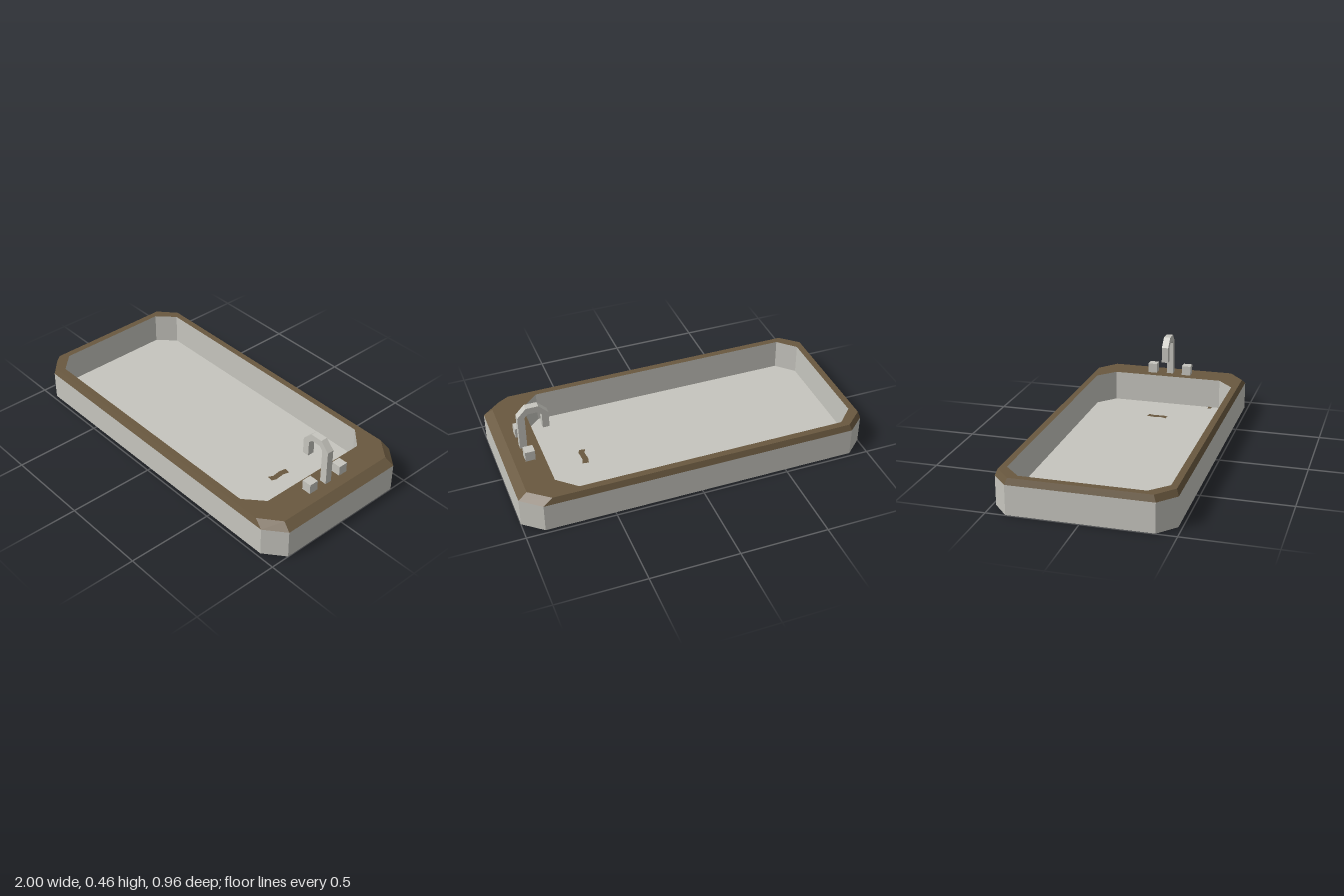
import * as THREE from 'three';

const grey = new THREE.MeshStandardMaterial({ color: 0xc6c5be });
grey.name = 'pale grey';
const brown = new THREE.MeshStandardMaterial({ color: 0x69583f });
brown.name = 'dark brown';

// Chamfered rectangle at height y, counter-clockwise seen from above
function ring(y, left, right, z, cutLeft, cutRight, cutZ) {
  const zi = z - cutZ;
  return [
    [right, zi], [right, -zi], [right - cutRight, -z], [left + cutLeft, -z],
    [left, -zi], [left, zi], [left + cutLeft, z], [right - cutRight, z],
  ].map(([x, pz]) => new THREE.Vector3(x, y, pz));
}

// Flat-shaded strip joining two rings
function band(name, a, b, material) {
  const points = [];
  a.forEach((p, i) => {
    const j = (i + 1) % a.length;
    points.push(p, a[j], b[j], p, b[j], b[i]);
  });
  const geometry = new THREE.BufferGeometry().setFromPoints(points);
  geometry.computeVertexNormals();
  const mesh = new THREE.Mesh(geometry, material);
  mesh.name = name;
  return mesh;
}

// Flat cap, drawn as a fan around a centre point
function cap(name, outline, up, material) {
  const c = new THREE.Vector3(0, outline[0].y, 0);
  const points = [];
  outline.forEach((p, i) => {
    const q = outline[(i + 1) % outline.length];
    points.push(...(up ? [p, q, c] : [q, p, c]));
  });
  const geometry = new THREE.BufferGeometry().setFromPoints(points);
  geometry.computeVertexNormals();
  const mesh = new THREE.Mesh(geometry, material);
  mesh.name = name;
  return mesh;
}

function box(name, size, position, material) {
  const mesh = new THREE.Mesh(new THREE.BoxGeometry(...size), material);
  mesh.position.set(...position);
  mesh.name = name;
  return mesh;
}

export function createModel() {
  const model = new THREE.Group();
  model.name = 'bathtub';

  // Tub shell: outside walls, bevelled rim, inside walls and floor
  const base = ring(0, -1, 1, 0.48, 0.1, 0.11, 0.09);
  const shoulder = ring(0.165, -1, 1, 0.48, 0.1, 0.11, 0.09);
  const rimEdge = ring(0.2, -0.988, 0.95, 0.467, 0.1, 0.113, 0.09);
  const opening = ring(0.2, -0.95, 0.785, 0.43, 0.095, 0.105, 0.095);
  const floorEdge = ring(0.02, -0.95, 0.785, 0.43, 0.095, 0.105, 0.095);
  model.add(
    cap('underside', base, false, grey),
    band('outerWalls', base, shoulder, grey),
    band('rimBevel', shoulder, rimEdge, brown),
    band('rimTop', rimEdge, opening, brown),
    band('innerWalls', opening, floorEdge, grey),
    cap('floor', floorEdge, true, grey),
  );

  // Small curved brown mark on the floor, with smaller marks nearby and below
  const drain = new THREE.Shape([
    [-0.025, -0.06], [0.01, -0.065], [0.02, -0.04], [0.015, 0.02], [0.025, 0.055],
    [-0.01, 0.06], [-0.018, 0.02], [-0.012, -0.03],
  ].map(([x, y]) => new THREE.Vector2(x, y)));
  const drainMark = new THREE.Mesh(new THREE.ShapeGeometry(drain), brown);
  drainMark.rotation.x = -Math.PI / 2;
  drainMark.position.set(0.53, 0.023, 0);
  drainMark.name = 'drainMark';
  model.add(drainMark, box('floorMark', [0.025, 0.004, 0.02], [0.77, 0.021, 0.28], brown));
  const underMark = box('undersideMark', [0.03, 0.003, 0.09], [0.65, -0.0005, -0.18], brown);
  const underMarkSmall = box('undersideMarkSmall', [0.06, 0.003, 0.03], [0.1, -0.0005, -0.13], brown);
  model.add(underMark, underMarkSmall);

  // Hooked spout
  const hook = new THREE.Shape([
    [0.85, 0.19], [0.89, 0.19], [0.89, 0.405], [0.84, 0.458], [0.77, 0.458], [0.717, 0.405],
    [0.717, 0.31], [0.755, 0.31], [0.755, 0.4], [0.777, 0.42], [0.832, 0.42], [0.85, 0.4],
  ].map(([x, y]) => new THREE.Vector2(x, y)));
  const spout = new THREE.Mesh(new THREE.ExtrudeGeometry(hook, { depth: 0.04, bevelEnabled: false }), grey);
  spout.position.z = -0.02;
  spout.name = 'spout';
  model.add(spout);

  // Tap knobs on either side
  for (const side of [-1, 1]) {
    model.add(box(side > 0 ? 'frontKnob' : 'backKnob', [0.055, 0.068, 0.055], [0.8625, 0.224, side * 0.109], grey));
  }
  return model;
}
